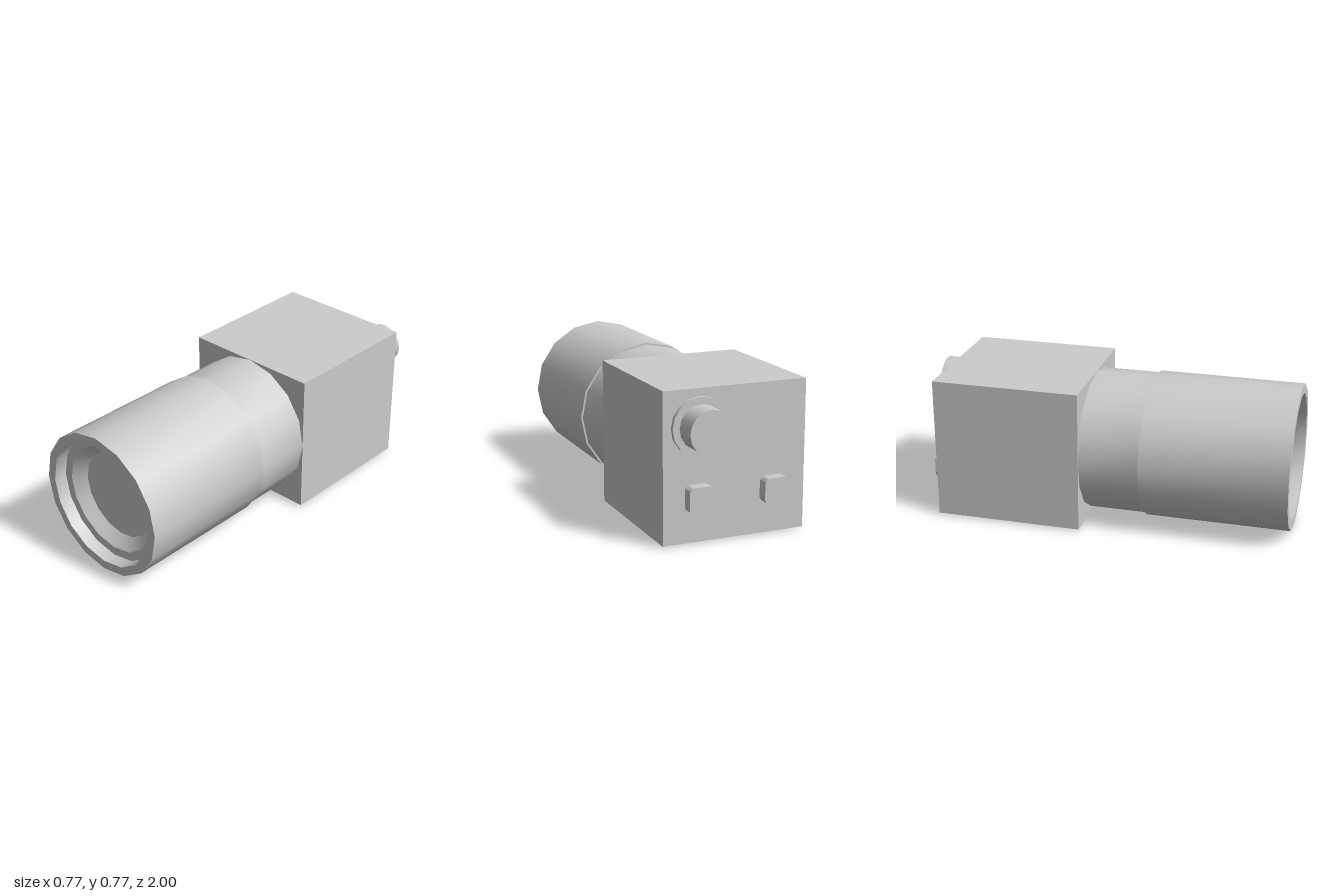
import * as THREE from 'three';
import { toCreasedNormals } from 'three/addons/utils/BufferGeometryUtils.js';

const AXIS_Y = 0.388;   // height of the barrel axis
const BACK_Z = -0.858;  // rear face of the housing

export function createModel() {
  const model = new THREE.Group();
  const material = new THREE.MeshStandardMaterial({ color: 0xcccccc });

  const add = (name, geometry, x, y, z) => {
    const mesh = new THREE.Mesh(geometry, material);
    mesh.name = name;
    mesh.position.set(x, y, z);
    model.add(mesh);
  };

  // Turned part along z, from [radius, z] pairs; smooth round, sharp edges
  const turned = (profile, sides) => {
    const points = profile.map(([r, z]) => new THREE.Vector2(r, z));
    const geometry = new THREE.LatheGeometry(points, sides).rotateX(Math.PI / 2);
    return toCreasedNormals(geometry, Math.PI / 6);
  };

  // Square housing
  const front = -0.08;
  add('housing', new THREE.BoxGeometry(0.75, 0.752, front - BACK_Z), 0, AXIS_Y, (front + BACK_Z) / 2);

  // Stepped barrel with recessed lens seat
  add('barrel', turned([
    [0.375, front], [0.375, 0.235], [0.385, 0.235], [0.385, 1],
    [0.337, 1], [0.337, 0.93], [0.29, 0.93], [0.232, 0.875], [0, 0.875],
  ], 16), 0, AXIS_Y, 0);

  // Rear knob on its flange
  add('knob', turned([
    [0, -1], [0.11, -1], [0.11, -0.88], [0.145, -0.88], [0.145, BACK_Z],
  ], 16), 0.19, 0.582, 0);

  // Two rounded square buttons
  const h = 0.065, r = 0.03, k = h - r;
  const outline = new THREE.Shape();
  [[k, k], [-k, k], [-k, -k], [k, -k]].forEach(([x, y], i) => {
    outline.absarc(x, y, r, i * Math.PI / 2, (i + 1) * Math.PI / 2, false);
  });
  const button = toCreasedNormals(
    new THREE.ExtrudeGeometry(outline, { depth: 0.06, bevelEnabled: false, curveSegments: 4 }),
    Math.PI / 6,
  );
  add('leftButton', button, 0.197, 0.235, -0.915);
  add('rightButton', button, -0.2, 0.235, -0.915);

  return model;
}
